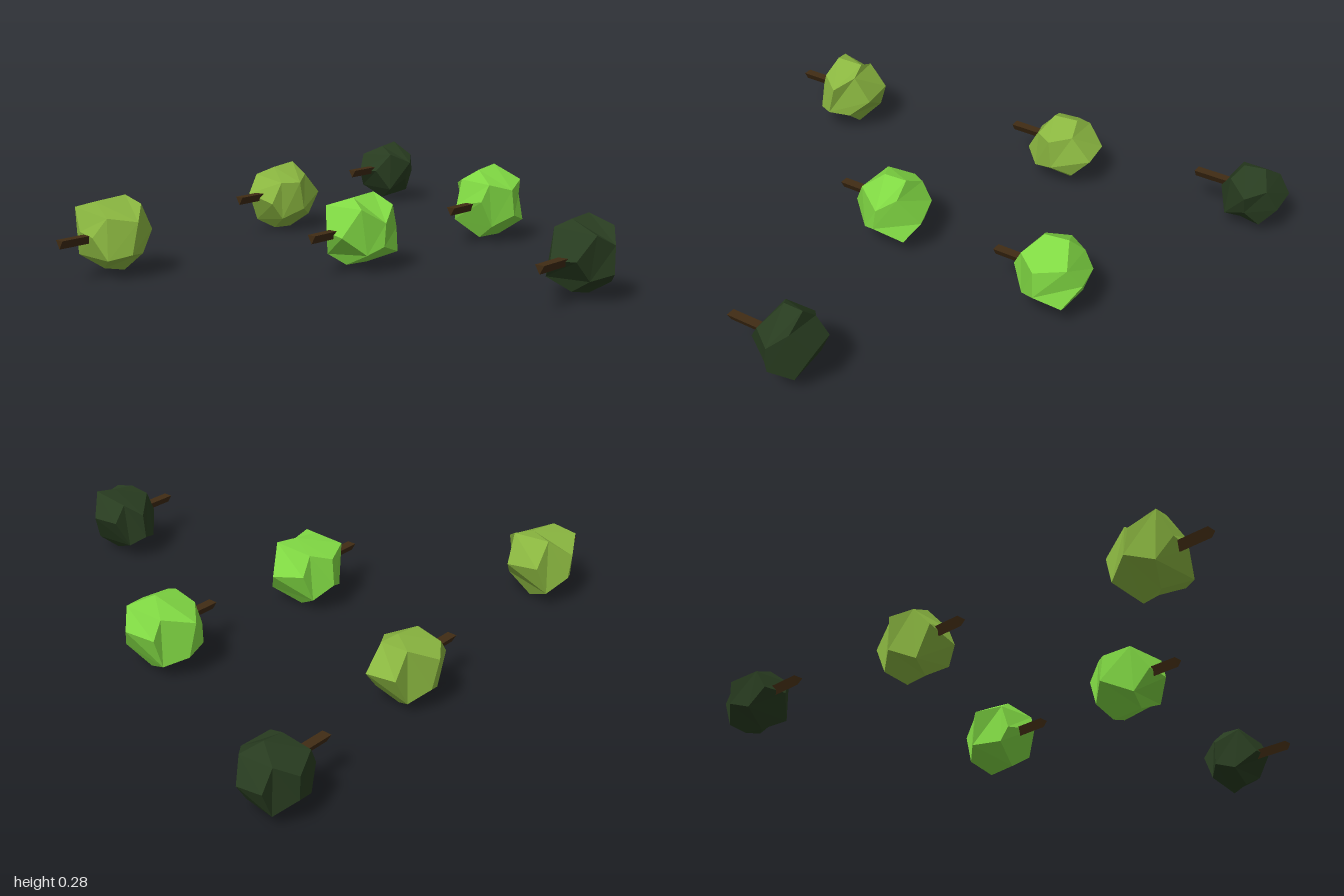
import * as THREE from 'three';
import { mergeVertices } from 'three/addons/utils/BufferGeometryUtils.js';

function material(name, color) {
  const m = new THREE.MeshStandardMaterial({ color, flatShading: true });
  m.name = name;
  return m;
}

// Small seeded generator, values in -1..1
function seeded(seed) {
  let s = seed * 7919 + 17;
  return () => {
    s = (s * 16807) % 2147483647;
    return (s / 2147483647) * 2 - 1;
  };
}

// Irregular low-poly crown, stretched to fill the given box
function crownGeometry(seed, min, max) {
  const raw = new THREE.DodecahedronGeometry(1);
  raw.deleteAttribute('normal');
  raw.deleteAttribute('uv');
  const merged = mergeVertices(raw, 1e-3);
  const rand = seeded(seed);
  for (let i = 0; i < 5; i++) rand();
  const pos = merged.attributes.position;
  for (let i = 0; i < pos.count; i++) {
    pos.setXYZ(i,
      pos.getX(i) + rand() * 0.13,
      pos.getY(i) + rand() * 0.13,
      pos.getZ(i) + rand() * 0.13);
  }
  const geo = merged.toNonIndexed();
  geo.rotateX(Math.PI / 2);
  geo.computeBoundingBox();
  const size = geo.boundingBox.getSize(new THREE.Vector3());
  const mid = geo.boundingBox.getCenter(new THREE.Vector3());
  geo.translate(-mid.x, -mid.y, -mid.z);
  geo.scale(
    (max[0] - min[0]) / size.x,
    (max[1] - min[1]) / size.y,
    (max[2] - min[2]) / size.z);
  geo.translate(
    (min[0] + max[0]) / 2,
    (min[1] + max[1]) / 2,
    (min[2] + max[2]) / 2);
  geo.computeVertexNormals();
  return geo;
}

export function createModel() {
  const model = new THREE.Group();
  model.name = 'lyingTrees';

  const bark = material('bark brown', 0x402c14);
  const dark = material('dark green', 0x283c20);
  const bright = material('bright green', 0x80d843);
  const olive = material('olive green', 0x8ab640);

  // Each tree: leaf colour, trunk x, trunk end z, crown box corners
  const trees = [
    [dark, -0.81, -0.657, [-0.92, 0.015, -1.0], [-0.69, 0.25, -0.77]],
    [bright, 0.02, -0.283, [-0.12, 0.015, -0.645], [0.15, 0.285, -0.39]],
    [olive, -0.725, 0.077, [-0.838, 0.005, -0.29], [-0.605, 0.262, -0.02]],
    [bright, -0.033, 0.4, [-0.155, 0.015, 0.025], [0.1, 0.268, 0.305]],
    [dark, 0.797, 0.256, [0.665, 0.018, -0.105], [0.917, 0.275, 0.14]],
    [olive, -0.61, 1.0, [-0.735, 0.01, 0.65], [-0.48, 0.272, 0.89]],
  ];

  // Three-sided trunk along z, one edge pointing down
  const length = 0.22;
  const trunkGeo = new THREE.CylinderGeometry(0.02, 0.02, length, 3);
  trunkGeo.rotateX(Math.PI / 2);

  trees.forEach(([leaf, x, end, min, max], i) => {
    const tree = new THREE.Group();
    tree.name = `tree${i + 1}`;

    const trunk = new THREE.Mesh(trunkGeo, bark);
    trunk.name = 'trunk';
    trunk.position.set(x, 0.145, end - length / 2);

    const crown = new THREE.Mesh(crownGeometry(i + 1, min, max), leaf);
    crown.name = 'crown';

    tree.add(trunk, crown);
    model.add(tree);
  });

  return model;
}
